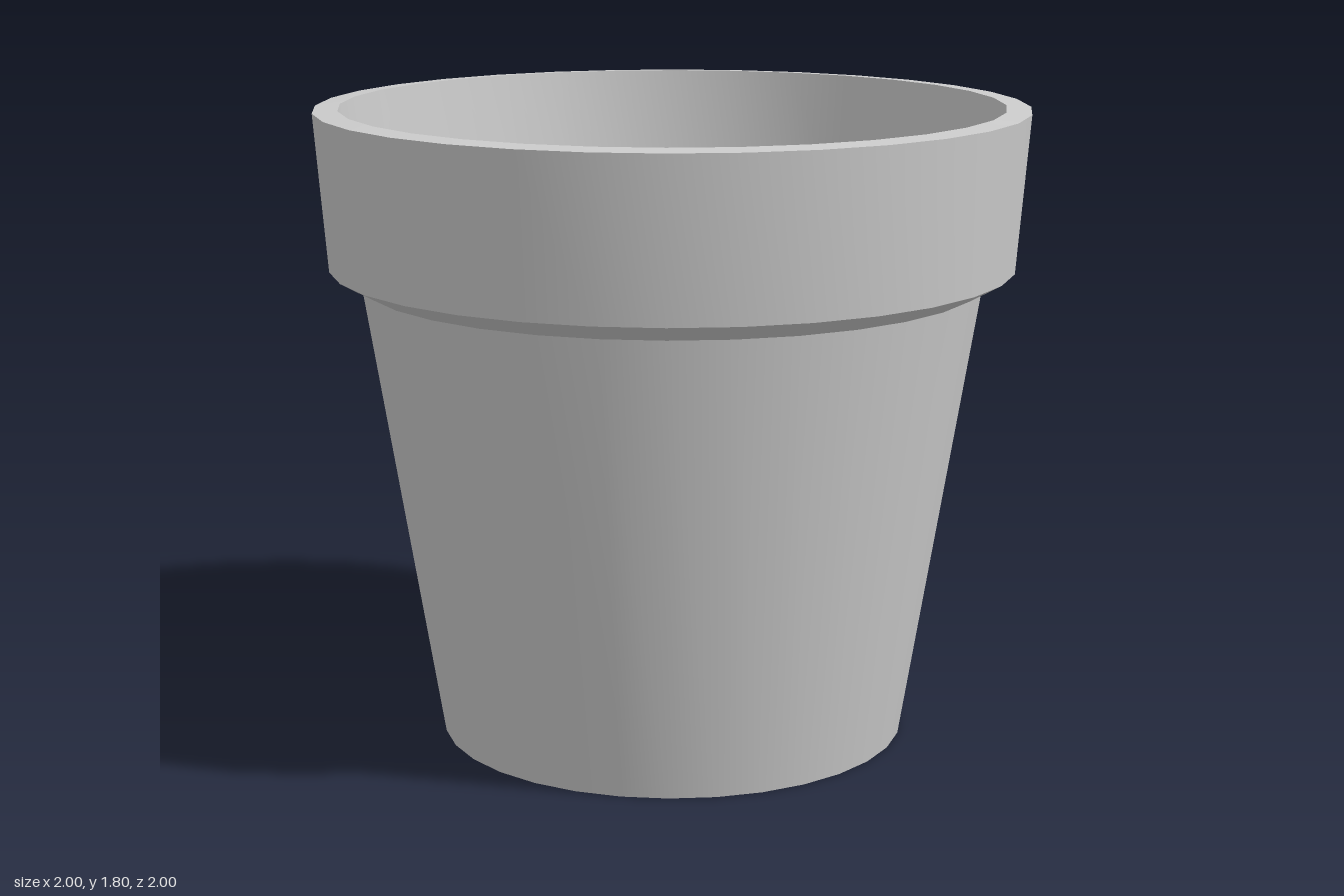
import * as THREE from 'three';
import { toCreasedNormals } from 'three/addons/utils/BufferGeometryUtils.js';

const SIDES = 32;

export function createModel() {
  const group = new THREE.Group();
  group.name = 'flowerPot';

  // closed wall section as [radius, height]
  const section = [
    [0.17, 0], [0.665, 0],         // underside, from the drain hole outwards
    [0.875, 1.305],                // tapered outer wall
    [0.965, 1.355], [1, 1.795],    // collar underside and outer face
    [0.93, 1.8],                   // rim top
    [0.89, 1.415], [0.8, 1.37],    // inner collar wall and ledge
    [0.575, 0.09], [0.17, 0.09],   // inner wall and floor
    [0.17, 0],                     // drain hole wall
  ].map(([r, y]) => new THREE.Vector2(r, y));

  // smooth around the pot, sharp at each edge of the section
  const geometry = toCreasedNormals(new THREE.LatheGeometry(section, SIDES), 0.4);
  const pot = new THREE.Mesh(geometry, new THREE.MeshStandardMaterial({ color: 0xcccccc }));
  pot.name = 'pot';
  group.add(pot);
  return group;
}
